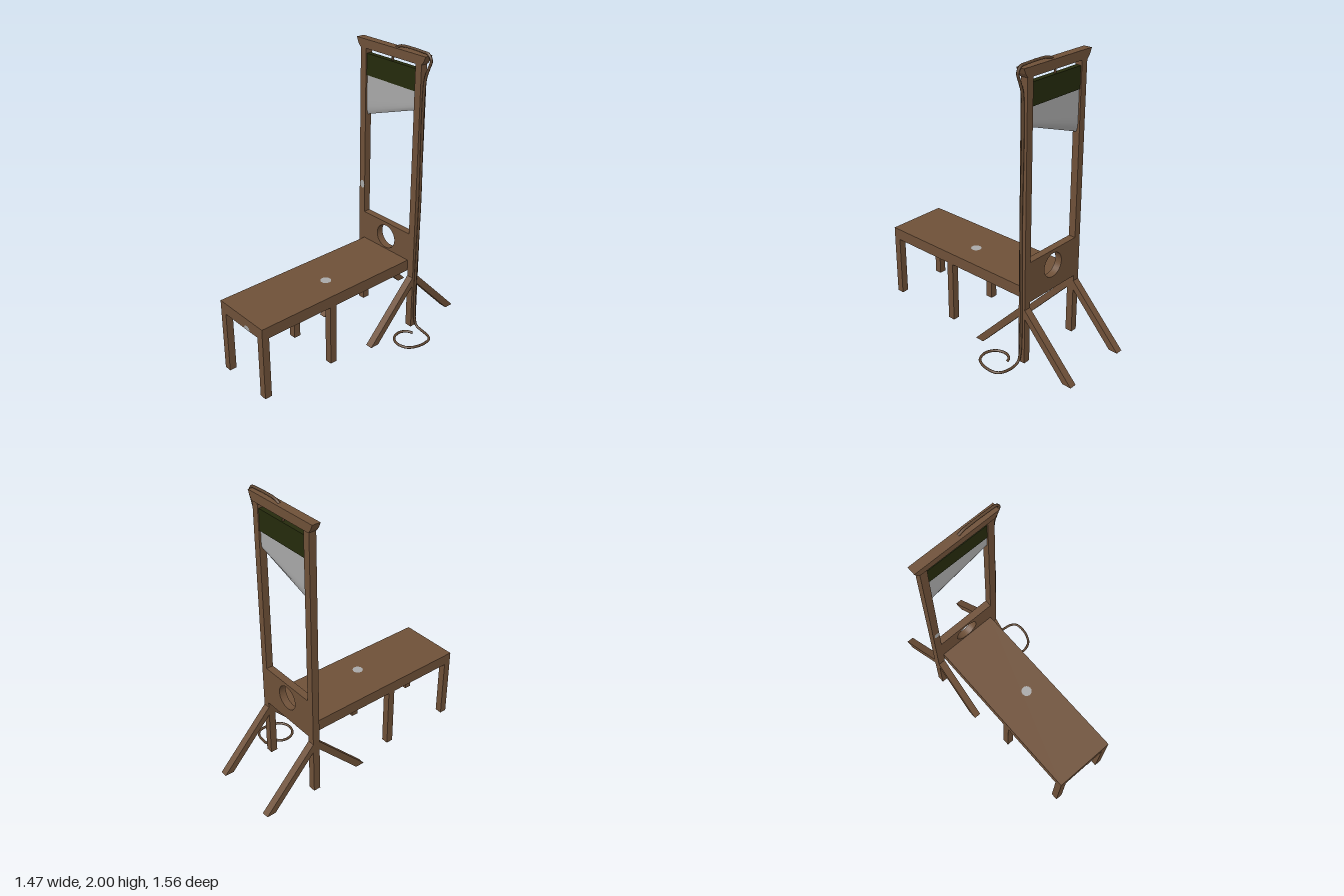
import * as THREE from 'three';

const mat = (name, color, side = THREE.FrontSide) => {
  const m = new THREE.MeshStandardMaterial({ color, side });
  m.name = name;
  return m;
};

export function createModel() {
  const wood = mat('brown wood', 0x6e5038);
  const steel = mat('steel', 0xa8a8a8);
  const iron = mat('dark olive weight', 0x252a0c);
  const ropeMat = mat('rope', 0x5e4530);

  const model = new THREE.Group();
  model.name = 'guillotine';
  const frame = new THREE.Group(); // everything but the rope, turned diagonally
  frame.name = 'frame';
  frame.position.set(0.265, 0, -0.3);
  frame.rotation.y = -0.733;
  model.add(frame);

  const add = (name, geo, material, parent = frame) => {
    const mesh = new THREE.Mesh(geo, material);
    mesh.name = name;
    parent.add(mesh);
    return mesh;
  };
  // box given by its minimum and maximum corners
  const box = (name, material, x0, x1, y0, y1, z0, z1) =>
    add(name, new THREE.BoxGeometry(x1 - x0, y1 - y0, z1 - z0), material)
      .position.set((x0 + x1) / 2, (y0 + y1) / 2, (z0 + z1) / 2);
  const poly = (pts) => new THREE.Shape(pts.map(([x, y]) => new THREE.Vector2(x, y)));
  const extrude = (shape, depth) =>
    new THREE.ExtrudeGeometry(shape, { depth, bevelEnabled: false, curveSegments: 24 })
      .translate(0, 0, -depth / 2);

  // uprights with a sloping brace to the front and to the back
  const brace = poly([[0.405, 0.01], [0.025, 0.41], [0.025, 0.345], [0.34, 0.01]]);
  for (const s of [-1, 1]) {
    const x = s * 0.245;
    box('upright', wood, x - 0.025, x + 0.025, 0.01, 1.92, -0.025, 0.025);
    for (const d of [-1, 1]) {
      const b = add('brace', extrude(brace, 0.05), wood);
      b.rotation.y = d * Math.PI / 2;
      b.position.x = x;
    }
  }

  // flared top beam
  add('topBeam', extrude(poly([[-0.27, 1.915], [0.27, 1.915], [0.29, 1.94],
    [0.305, 1.975], [-0.305, 1.975], [-0.29, 1.94]]), 0.058), wood);

  // neck board with its round hole
  const board = poly([[-0.22, 0.45], [0.22, 0.45], [0.22, 0.735], [-0.22, 0.735]]);
  board.holes.push(new THREE.Path().absarc(0, 0.625, 0.085, 0, Math.PI * 2, true));
  add('neckBoard', extrude(board, 0.05), wood);

  // weight and slanted blade, thinning to its lower edge
  box('weight', iron, -0.222, 0.222, 1.735, 1.88, -0.018, 0.018);
  const blade = new THREE.BoxGeometry(0.44, 1, 0.024, 1, 10, 1);
  const p = blade.attributes.position;
  for (let i = 0; i < p.count; i++) {
    const x = p.getX(i), t = p.getY(i) + 0.5;
    const low = 1.535 + 0.34 * x;
    p.setY(i, low + (1.735 - low) * t);
    const u = Math.min(1, t / 0.3);
    p.setZ(i, p.getZ(i) * (0.04 + 0.96 * Math.sqrt(u * (2 - u))));
  }
  blade.computeVertexNormals();
  add('blade', blade, steel);

  // bench and its legs
  box('benchTop', wood, -0.217, 0.217, 0.45, 0.53, 0.025, 1.257);
  for (const x of [-0.192, 0.192])
    for (const z of [0.695, 1.232])
      box('benchLeg', wood, x - 0.025, x + 0.025, 0.01, 0.45, z - 0.025, z + 0.025);

  // small metal patches
  const top = add('benchPatch', new THREE.CircleGeometry(0.036, 14), steel);
  top.rotation.x = -Math.PI / 2;
  top.position.set(0.045, 0.532, 0.611);
  add('benchEndPatch', new THREE.CircleGeometry(0.03, 12, 0, Math.PI), steel)
    .position.set(0.062, 0.451, 1.259);
  const post = add('uprightPatch', new THREE.CircleGeometry(0.03, 12), steel);
  post.scale.x = 0.65;
  post.position.set(-0.241, 0.945, 0.027);

  // rope over the beam, down the upright and coiled on the ground
  const curve = new THREE.CatmullRomCurve3([
    [0.287, 1.972, -0.28], [0.32, 1.989, -0.252], [0.46, 1.99, -0.126], [0.49, 1.985, -0.098],
    [0.507, 1.95, -0.083], [0.492, 1.89, -0.096], [0.476, 1.82, -0.11], [0.476, 1.0, -0.11],
    [0.476, 0.07, -0.11], [0.49, 0.025, -0.097], [0.53, 0.01, -0.06], [0.575, 0.01, 0],
    [0.578, 0.01, 0.045], [0.52, 0.01, 0.115], [0.44, 0.01, 0.147], [0.37, 0.01, 0.115],
    [0.342, 0.01, 0.045], [0.375, 0.01, -0.022], [0.425, 0.01, -0.04], [0.47, 0.01, -0.026],
  ].map((v) => new THREE.Vector3(...v)));
  add('rope', new THREE.TubeGeometry(curve, 260, 0.009, 8), ropeMat, model);
  const cord = add('weightCord', new THREE.CylinderGeometry(0.008, 0.008, 0.05, 8), ropeMat);
  cord.position.y = 1.9;

  return model;
}
